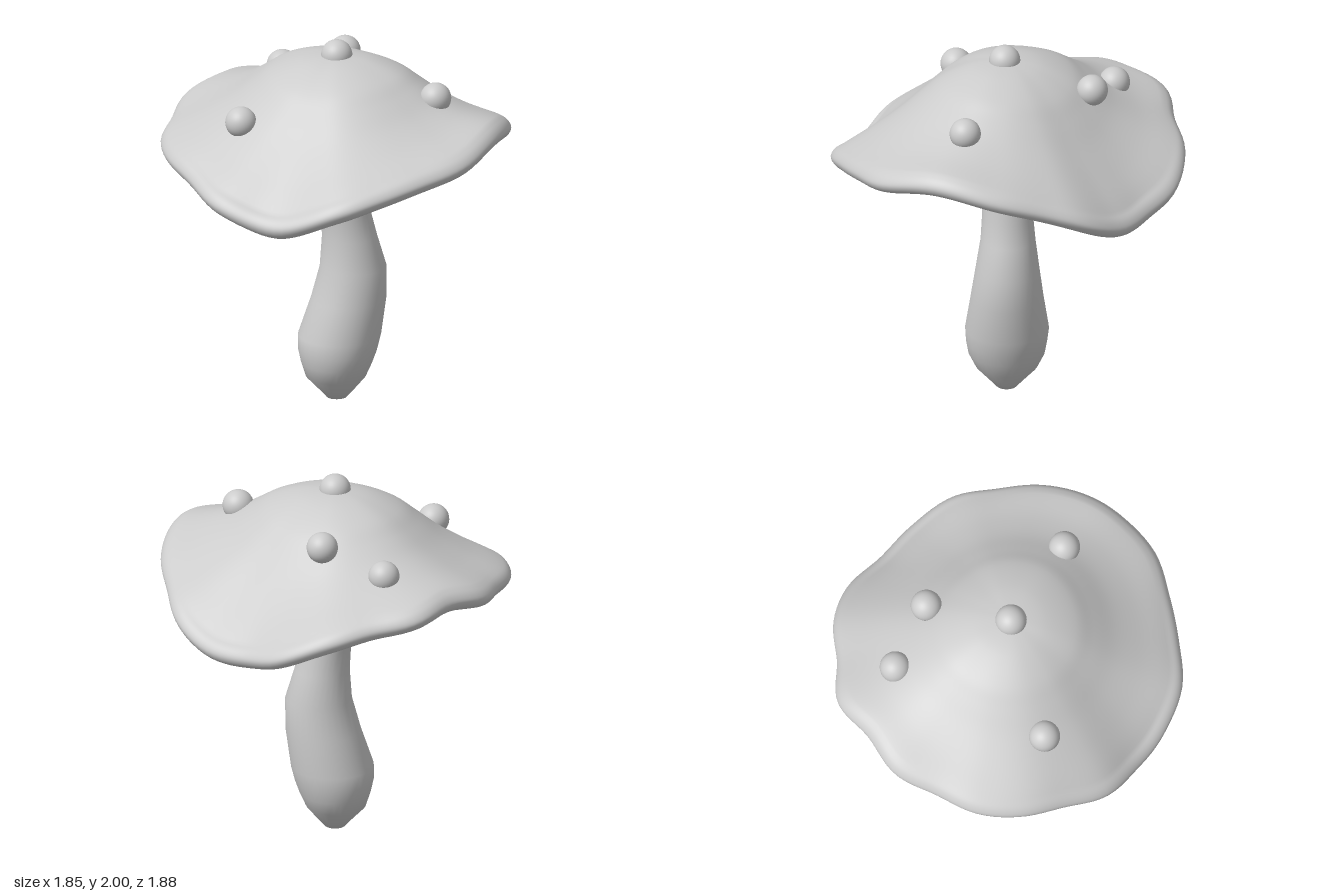
import * as THREE from 'three';
import { mergeVertices } from 'three/addons/utils/BufferGeometryUtils.js';

const material = new THREE.MeshStandardMaterial({ color: 0xcccccc, side: THREE.DoubleSide });

// Skin closed rings of points; place(j, angle) gives the point of ring j.
function loft(rings, sides, place) {
  const pos = [], index = [];
  for (let j = 0; j < rings; j++) {
    for (let i = 0; i < sides; i++) {
      pos.push(...place(j, (i / sides) * Math.PI * 2));
      if (j === rings - 1) continue;
      const a = j * sides + i, b = j * sides + ((i + 1) % sides);
      index.push(a, a + sides, b, b, a + sides, b + sides);
    }
  }
  let geo = new THREE.BufferGeometry();
  geo.setAttribute('position', new THREE.Float32BufferAttribute(pos, 3));
  geo.setIndex(index);
  geo = mergeVertices(geo, 1e-5);
  geo.computeVertexNormals();
  return geo;
}

// Smooth value around the circle from evenly spaced samples, starting at +x and turning towards +z
function around(samples) {
  const curve = new THREE.CatmullRomCurve3(
    samples.map((v) => new THREE.Vector3(0, v, 0)), true, 'catmullrom', 0.5);
  return (phi) => curve.getPoint(phi / (Math.PI * 2)).y;
}

const rimHeight = around([1.50, 1.565, 1.495, 1.42, 1.33, 1.215, 1.29, 1.39, 1.43, 1.47, 1.53, 1.48, 1.40, 1.27, 1.25, 1.39]);
const rimRadius = around([
  0.922, 0.925, 0.928, 0.935, 0.90, 0.90, 0.93, 0.91, 0.897, 0.923, 0.902, 0.925,
  0.93, 0.905, 0.935, 0.909, 0.96, 0.913, 0.945, 0.945, 0.902, 0.925, 0.945, 0.912]);
const RIM_MEAN = 1.40, RIM_RADIUS = 0.925, WAVE_RADIUS = 0.86;

// Revolve a [radius, height] profile, bending it with the wavy rim
function wavyDisc(profile, rings) {
  const curve = new THREE.CatmullRomCurve3(
    profile.map(([r, y]) => new THREE.Vector3(r, y, 0)), false, 'centripetal');
  const points = curve.getPoints(rings - 1);
  return loft(rings, 128, (j, phi) => {
    const p = points[j];
    const weight = Math.min(1, (p.x / WAVE_RADIUS) ** 2);
    const wave = rimHeight(phi) - RIM_MEAN;
    const r = Math.max(0, p.x) * (1 + weight ** 2 * (rimRadius(phi) / RIM_RADIUS - 1));
    return [r * Math.cos(phi), p.y + wave * weight, r * Math.sin(phi)];
  });
}

export function createModel() {
  const group = new THREE.Group();
  const add = (name, geo) => {
    const mesh = new THREE.Mesh(geo, material);
    mesh.name = name;
    group.add(mesh);
    return mesh;
  };

  // Cap: underside, rolled rim, then up over the dome
  add('cap', wavyDisc([
    [0.50, 1.42], [0.62, 1.375], [0.76, 1.345], [0.85, 1.342], [0.905, 1.365], [0.925, 1.405],
    [0.905, 1.445], [0.85, 1.482], [0.70, 1.565], [0.57, 1.65], [0.45, 1.747],
    [0.35, 1.825], [0.20, 1.893], [0.08, 1.917], [0, 1.92],
  ], 71));

  // Gills: shallow bowl between the stem and the underside of the cap
  add('gills', wavyDisc([
    [0, 1.15], [0.14, 1.15], [0.25, 1.178], [0.40, 1.25], [0.53, 1.305], [0.63, 1.35], [0.65, 1.38],
  ], 31));

  // Stem: leaning sections as [height, centre x, half width x, centre z, half width z]
  const sections = [
    [0, 0, 0, 0, 0],
    [0, 0, 0.055, 0, 0.055],
    [0.04, 0, 0.09, 0, 0.09],
    [0.12, -0.005, 0.16, 0, 0.165],
    [0.20, 0, 0.19, 0, 0.203],
    [0.27, 0.005, 0.21, 0, 0.215],
    [0.35, 0.015, 0.22, -0.003, 0.222],
    [0.55, 0.062, 0.20, -0.005, 0.194],
    [0.73, 0.087, 0.177, -0.008, 0.17],
    [0.90, 0.068, 0.146, -0.01, 0.145],
    [1.03, 0.048, 0.133, -0.007, 0.135],
    [1.17, 0.022, 0.142, -0.005, 0.138],
  ];
  add('stem', loft(sections.length, 32, (j, phi) => {
    const [y, cx, rx, cz, rz] = sections[j];
    return [cx + rx * Math.cos(phi), y, cz + rz * Math.sin(phi)];
  }));

  // Round spots half sunk into the cap
  const spots = [[0, 1.917, 0.01], [0.52, 1.74, 0.2], [-0.51, 1.64, 0.285], [0.05, 1.775, -0.455], [-0.28, 1.66, -0.56]];
  spots.forEach((p, i) => add('spot' + (i + 1), new THREE.SphereGeometry(0.083, 32, 20)).position.set(...p));

  return group;
}
